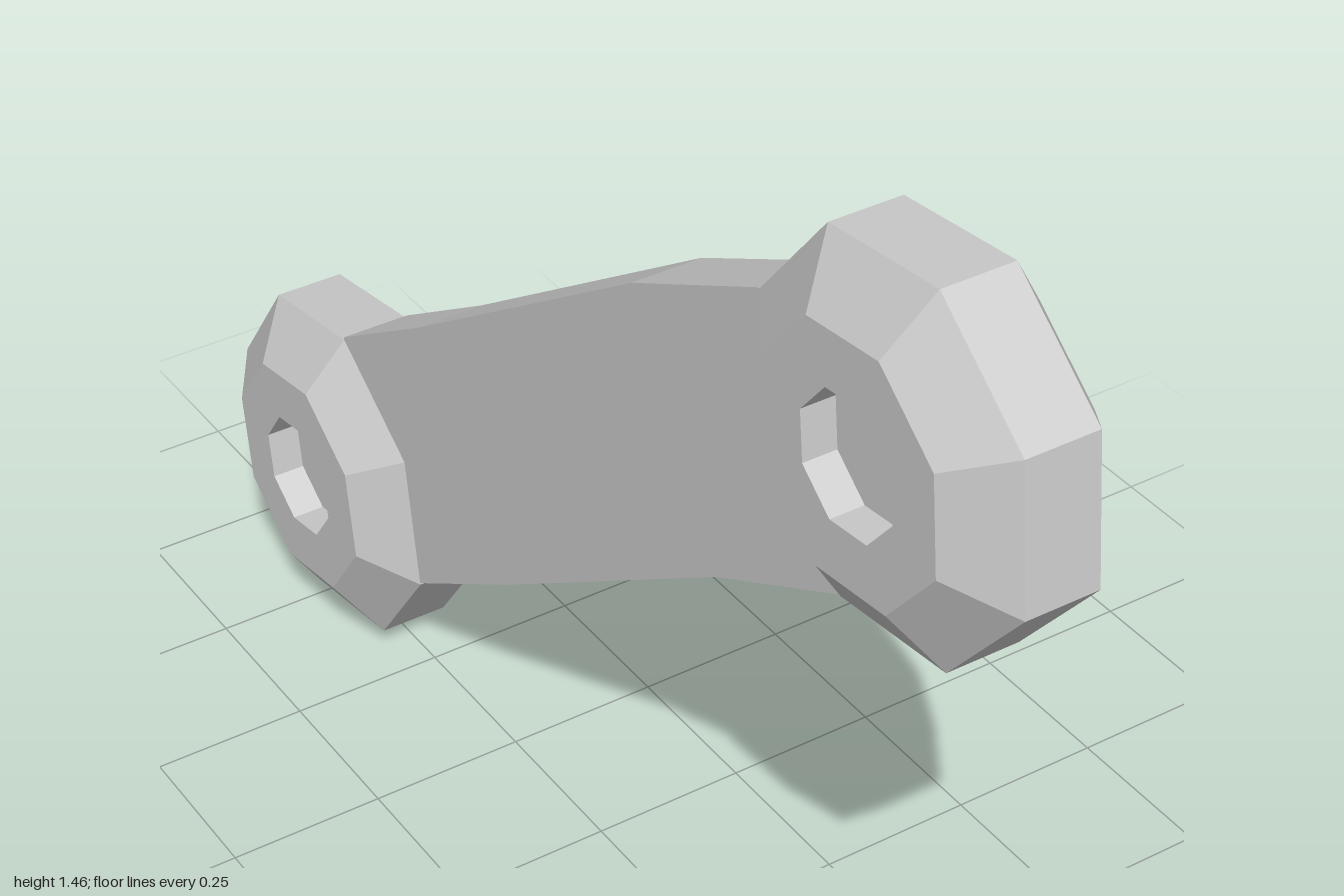
import * as THREE from 'three';

const HALF = 0.056;   // half thickness of the bar and the eye rims
const FACE = 0.118;   // half thickness at the eye faces
const RIM_RADIUS = 0.286;

// Eight-sided end with bevelled faces and a shallow recess on both sides
function createEye(name, y, z, angle, material) {
  const side = [[0, 0.065], [0.1, 0.065], [0.1, FACE], [0.19, FACE], [RIM_RADIUS, HALF]];
  const profile = [
    ...side.map(([r, h]) => new THREE.Vector2(r, -h)),
    ...side.slice().reverse().map(([r, h]) => new THREE.Vector2(r, h)),
  ];
  const geometry = new THREE.LatheGeometry(profile, 8, -THREE.MathUtils.degToRad(angle));
  geometry.rotateZ(-Math.PI / 2);
  const eye = new THREE.Mesh(geometry, material);
  eye.name = name;
  eye.position.set(0, y, z);
  return eye;
}

export function createModel() {
  const model = new THREE.Group();
  model.name = 'linkArm';
  const material = new THREE.MeshStandardMaterial({ color: 0xcccccc, flatShading: true });

  const upper = { y: 1.186, z: 0.723 };
  const lower = { y: 0.281, z: -0.717 };

  // Slightly waisted flat bar, outlined as [z, y], ending inside the two eyes
  const outline = [
    [upper.z, upper.y], [0.642, 0.912], [0.37, 0.762], [-0.17, 0.393], [-0.438, 0.22],
    [lower.z, lower.y], [-0.652, 0.565], [-0.42, 0.714], [0.16, 1.115], [0.449, 1.268],
  ];
  const shape = new THREE.Shape(outline.map(([z, y]) => new THREE.Vector2(-z, y)));
  const barGeometry = new THREE.ExtrudeGeometry(shape, { depth: 2 * HALF, bevelEnabled: false });
  barGeometry.translate(0, 0, -HALF);
  barGeometry.rotateY(Math.PI / 2);
  const bar = new THREE.Mesh(barGeometry, material);
  bar.name = 'bar';

  model.add(
    bar,
    createEye('upperEye', upper.y, upper.z, 74, material),
    createEye('lowerEye', lower.y, lower.z, 77, material),
  );
  return model;
}
